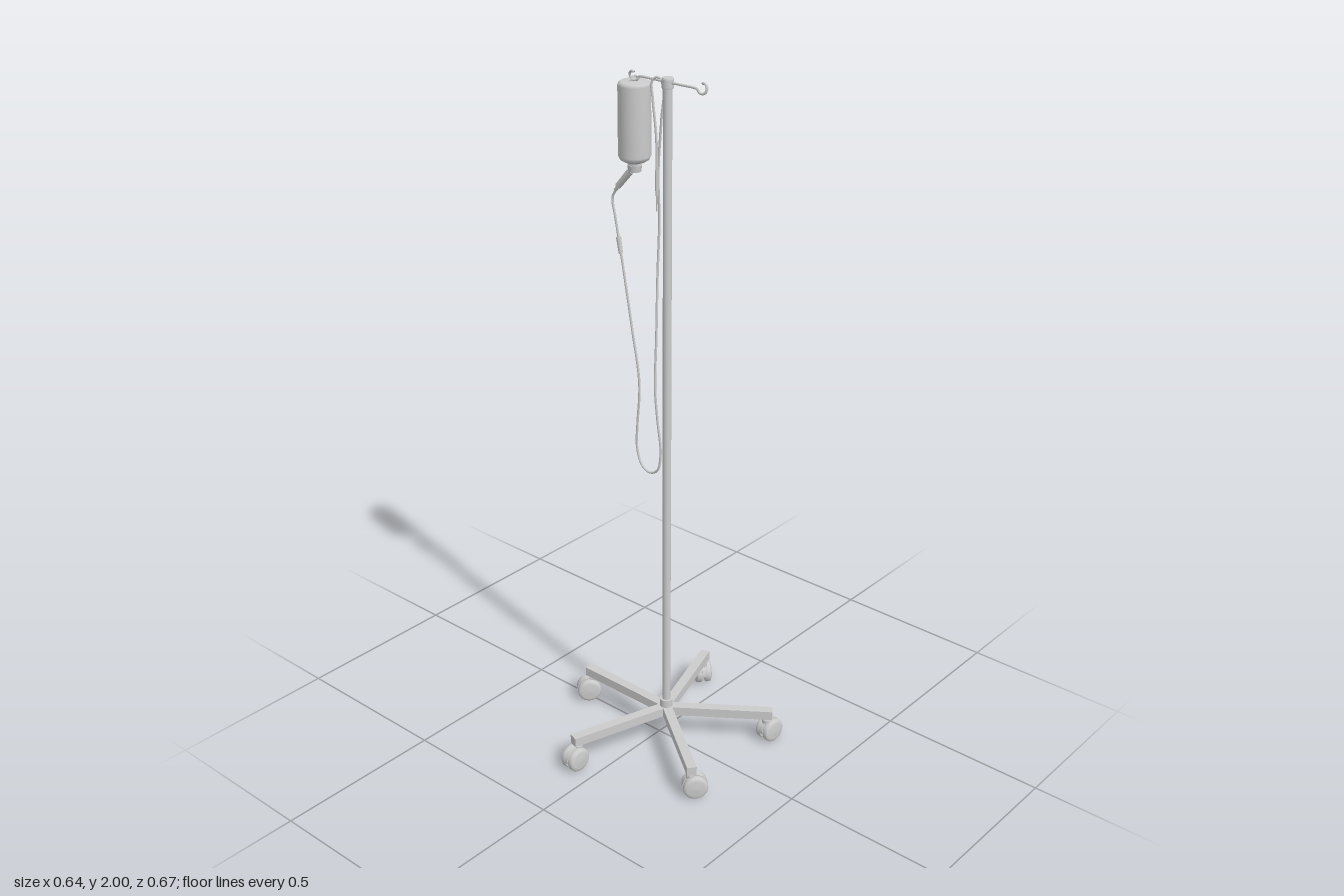
import * as THREE from 'three';

const material = new THREE.MeshStandardMaterial({ color: 0xcccccc, side: THREE.DoubleSide });
const V = (x, y, z = 0) => new THREE.Vector3(x, y, z);
const POLE_X = 0.027;

function add(parent, name, geometry, x = 0, y = 0, z = 0) {
  const mesh = new THREE.Mesh(geometry, material);
  mesh.name = name;
  mesh.position.set(x, y, z);
  parent.add(mesh);
  return mesh;
}

// Lathe with crisp edges: each profile corner is doubled
function lathe(points, segments = 32) {
  const profile = [];
  points.forEach(([r, y, smooth]) => {
    profile.push(new THREE.Vector2(r, y));
    if (!smooth) profile.push(new THREE.Vector2(r, y + 1e-5));
  });
  return new THREE.LatheGeometry(profile, segments);
}

function tube(points, radius, segments) {
  return new THREE.TubeGeometry(new THREE.CatmullRomCurve3(points), segments, radius, 8, false);
}

// Tapered cylinder running from a to b
function rod(parent, name, a, b, ra, rb) {
  const mesh = add(parent, name, new THREE.CylinderGeometry(rb, ra, a.distanceTo(b), 16));
  mesh.position.copy(a).lerp(b, 0.5);
  mesh.quaternion.setFromUnitVectors(V(0, 1), b.clone().sub(a).normalize());
}

// Twin-wheel swivel caster, trailing along local +z
function makeCaster() {
  const caster = new THREE.Group();
  caster.name = 'caster';
  const trail = 0.013, axleY = 0.036;
  add(caster, 'casterStem', new THREE.CylinderGeometry(0.009, 0.009, 0.045, 16), 0, 0.07, 0);
  const wheel = lathe([[0, 0], [0.034, 0], [0.036, 0.003, 1], [0.036, 0.013, 1],
    [0.033, 0.017, 1], [0.026, 0.0195, 1], [0, 0.021, 1]], 28);
  for (const side of [-1, 1]) {
    const mesh = add(caster, 'casterWheel', wheel, side * 0.006, axleY, trail);
    mesh.rotation.z = -side * Math.PI / 2;
  }
  add(caster, 'casterAxle', new THREE.CylinderGeometry(0.008, 0.008, 0.014, 12), 0, axleY, trail)
    .rotation.z = Math.PI / 2;
  // Hood between the wheels, with a socket for the stem
  const hood = new THREE.Shape();
  hood.absarc(0, 0, 0.037, -0.1, Math.PI + 0.1, false);
  const geometry = new THREE.ExtrudeGeometry(hood, { depth: 0.013, bevelEnabled: false, curveSegments: 20 });
  geometry.translate(0, 0, -0.0065).rotateY(Math.PI / 2);
  add(caster, 'casterHood', geometry, 0, axleY, trail);
  add(caster, 'casterSocket', new THREE.CylinderGeometry(0.013, 0.013, 0.022, 16), 0, 0.064, 0);
  return caster;
}

export function createModel() {
  const model = new THREE.Group();
  model.name = 'infusionStand';

  // Five-armed base, each caster swivelled its own way
  const base = new THREE.Group();
  base.name = 'base';
  base.position.x = POLE_X;
  model.add(base);
  const armLength = 0.317;
  const trails = [[-0.64, 0.77], [-0.77, -0.63], [0.13, -0.99], [0.65, -0.75], [-0.08, 1]];
  trails.forEach(([dx, dz], i) => {
    const angle = Math.PI - i * Math.PI * 0.4;
    const c = Math.cos(angle), s = -Math.sin(angle);
    const arm = add(base, 'baseArm', new THREE.BoxGeometry(armLength, 0.028, 0.028),
      c * armLength / 2, 0.094, s * armLength / 2);
    arm.rotation.y = angle;
    const caster = makeCaster();
    caster.position.set(c * 0.3, 0, s * 0.3);
    caster.rotation.y = Math.atan2(dx, dz);
    base.add(caster);
  });
  add(base, 'hubCollar', new THREE.CylinderGeometry(0.019, 0.019, 0.052, 32), 0, 0.106, 0);

  // Pole and its cap
  add(model, 'pole', new THREE.CylinderGeometry(0.012, 0.012, 1.89, 32), POLE_X, 1.035, 0);
  add(model, 'poleCap', lathe([[0, 1.972], [0.015, 1.972], [0.0155, 1.975], [0.0155, 1.996], [0.014, 2], [0, 2]]),
    POLE_X, 0, 0);

  // Cross bar with a curled hook at each end
  for (const side of [-1, 1]) {
    const points = [V(0, 1.988), V(0.05, 1.988), V(0.088, 1.988)];
    for (let i = 0; i <= 10; i++) {
      const a = Math.PI * (1.05 + i * 0.16);
      points.push(V(0.109 + 0.0125 * Math.cos(a), 1.988 + 0.0125 * Math.sin(a), -0.0012 * i));
    }
    points.forEach((p) => { p.x = POLE_X + side * p.x; p.z *= side; });
    add(model, 'hook', tube(points, 0.0034, 60));
  }

  // Hanging bottle with neck and stopper
  const bottle = new THREE.Group();
  bottle.name = 'bottle';
  bottle.position.x = -0.086;
  model.add(bottle);
  add(bottle, 'bottleBody', lathe([[0.017, 1.745], [0.017, 1.757], [0.03, 1.762, 1], [0.039, 1.768, 1],
    [0.0435, 1.778, 1], [0.0435, 1.962, 1], [0.041, 1.969, 1], [0.035, 1.973, 1], [0, 1.974, 1]], 40));
  add(bottle, 'bottleStopper', new THREE.CylinderGeometry(0.02, 0.017, 0.018, 24), 0, 1.743, 0);
  add(bottle, 'hangerLoop', new THREE.TorusGeometry(0.015, 0.0022, 8, 24, Math.PI), 0, 1.971, 0)
    .rotation.y = Math.PI / 2;

  // Drip chamber slanting away from the stopper
  rod(model, 'dripSpike', V(-0.088, 1.743), V(-0.106, 1.726), 0.007, 0.007);
  rod(model, 'dripChamber', V(-0.1, 1.733), V(-0.145, 1.682), 0.0095, 0.0085);
  rod(model, 'dripOutlet', V(-0.143, 1.684), V(-0.156, 1.667), 0.0055, 0.0045);

  // Long line looping down, back up over the bar and ending in a needle
  add(model, 'infusionLine', tube([
    V(-0.15, 1.675), V(-0.166, 1.645), V(-0.158, 1.6), V(-0.14, 1.51), V(-0.1, 1.29),
    V(-0.074, 1.13), V(-0.082, 1.0), V(-0.084, 0.935), V(-0.067, 0.882), V(-0.038, 0.866),
    V(-0.008, 0.882), V(0.004, 0.94), V(-0.008, 1.04), V(-0.016, 1.13), V(-0.02, 1.29, -0.01),
    V(-0.029, 1.45, -0.025), V(-0.028, 1.6, -0.031), V(-0.02, 1.74, -0.018), V(-0.003, 1.88, -0.01),
    V(0.006, 1.97, -0.008), V(-0.004, 1.996, 0), V(-0.02, 1.985, 0.006), V(-0.018, 1.94, 0.006),
    V(-0.006, 1.84, 0.006), V(-0.003, 1.75, 0.008),
  ], 0.0033, 260));
  rod(model, 'lineClamp', V(-0.146, 1.54), V(-0.138, 1.495), 0.007, 0.006);
  rod(model, 'needleHub', V(-0.003, 1.755, 0.008), V(-0.002, 1.7, 0.009), 0.0045, 0.004);
  rod(model, 'needle', V(-0.002, 1.702, 0.009), V(-0.001, 1.645, 0.01), 0.003, 0.0015);

  return model;
}
